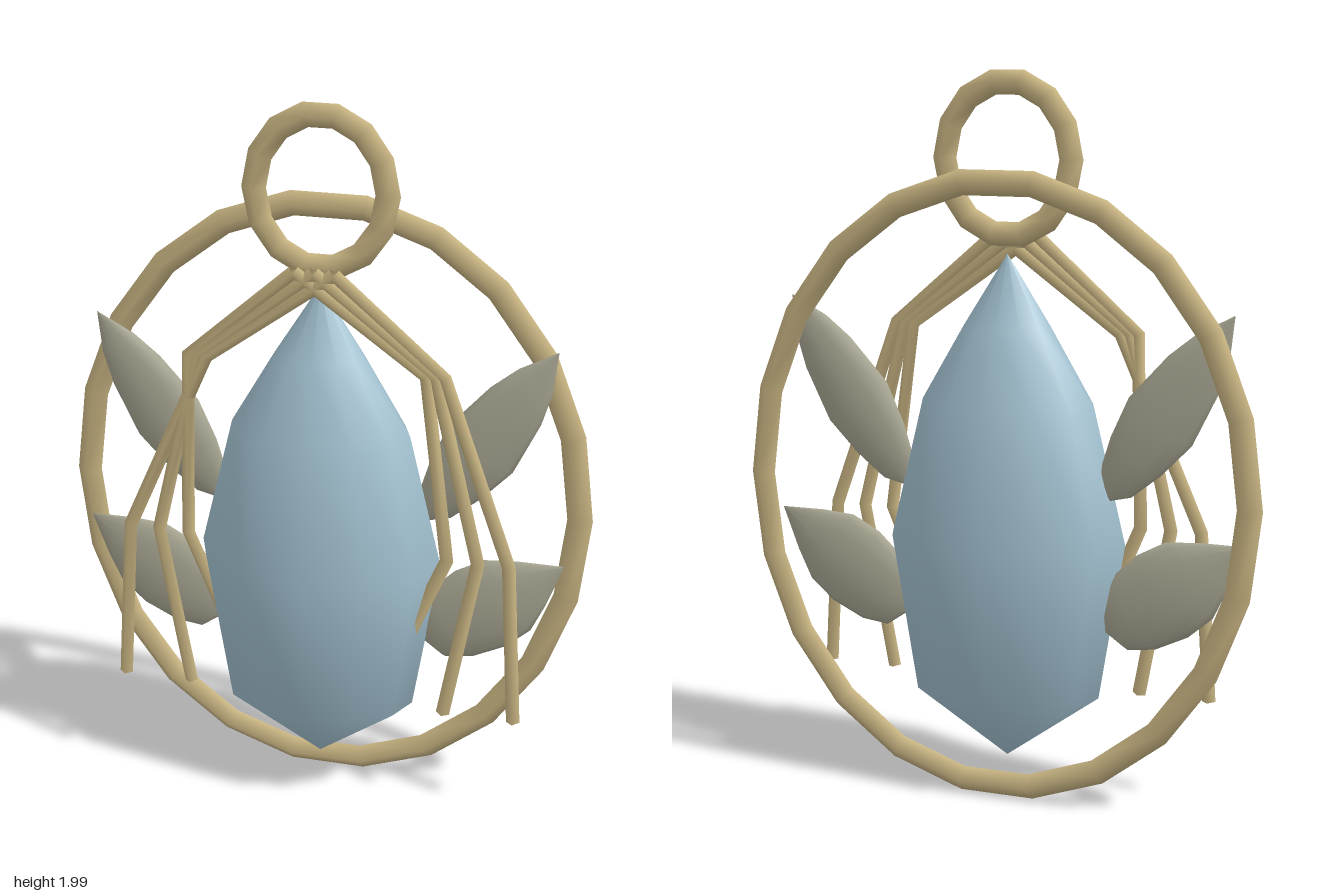
import * as THREE from 'three';

const gold = new THREE.MeshStandardMaterial({ color: 0xc8b482, side: THREE.DoubleSide });
gold.name = 'gold';
const crystalBlue = new THREE.MeshStandardMaterial({ color: 0xa2c1d0 });
crystalBlue.name = 'crystalBlue';
const wingGrey = new THREE.MeshStandardMaterial({ color: 0xa9a793 });
wingGrey.name = 'wingGrey';

// Curves sampled evenly in their parameter, so that corners are hit exactly
class EllipseLoop extends THREE.Curve {
  constructor(rx, ry) {
    super();
    this.rx = rx;
    this.ry = ry;
  }
  getUtoTmapping(u) { return u; }
  getPoint(t, target = new THREE.Vector3()) {
    const a = t * Math.PI * 2;
    return target.set(this.rx * Math.cos(a), this.ry * Math.sin(a), 0);
  }
  // Exact tangent, also at the seam
  getTangent(t, target = new THREE.Vector3()) {
    const a = t * Math.PI * 2;
    return target.set(-this.rx * Math.sin(a), this.ry * Math.cos(a), 0).normalize();
  }
}

class Polyline extends THREE.Curve {
  constructor(points) {
    super();
    this.points = points;
  }
  getUtoTmapping(u) { return u; }
  getPoint(t, target = new THREE.Vector3()) {
    const n = this.points.length - 1;
    const i = Math.min(Math.floor(t * n), n - 1);
    return target.lerpVectors(this.points[i], this.points[i + 1], t * n - i);
  }
}

function createRing(name, rx, ry, tube, segments, y, z) {
  const mesh = new THREE.Mesh(
    new THREE.TubeGeometry(new EllipseLoop(rx, ry), segments, tube, 4, true), gold);
  mesh.name = name;
  mesh.position.set(0, y, z);
  return mesh;
}

// Solid of revolution squashed along z
function createFlatLathe(name, profile, segments, depth, material) {
  const points = profile.map(([r, y]) => new THREE.Vector2(r, y));
  const geometry = new THREE.LatheGeometry(points, segments);
  geometry.scale(1, 1, depth);
  const mesh = new THREE.Mesh(geometry, material);
  mesh.name = name;
  return mesh;
}

// Leaf-shaped wing running from its base to its tip
function createWing(name, side, base, tip, profile, depth) {
  const wing = createFlatLathe(name, profile, 12, depth, wingGrey);
  wing.position.set(side * base[0], base[1], -0.017);
  wing.rotation.z = -side * Math.atan2(tip[0] - base[0], tip[1] - base[1]);
  return wing;
}

export function createModel() {
  const model = new THREE.Group();
  model.name = 'pendant';

  // Oval frame behind, hanging loop on top
  model.add(createRing('frame', 0.71, 0.841, 0.035, 22, 0.8725, -0.083));
  model.add(createRing('hangingLoop', 0.182, 0.207, 0.034, 14, 1.765, 0));

  // Faceted drop in the middle
  model.add(createFlatLathe('crystal', [
    [0, 0.095], [0.27, 0.29], [0.343, 0.73], [0.252, 1.1], [0.128, 1.31], [0, 1.51],
  ], 12, 0.667, crystalBlue));

  const upperProfile = [
    [0, 0], [0.055, 0.06], [0.086, 0.16], [0.107, 0.28], [0.084, 0.44], [0.056, 0.53], [0, 0.635],
  ];
  const lowerProfile = [
    [0, 0], [0.078, 0.03], [0.114, 0.1], [0.13, 0.2], [0.12, 0.29], [0.074, 0.37], [0, 0.477],
  ];

  for (const side of [1, -1]) {
    const prefix = side > 0 ? 'left' : 'right';
    model.add(createWing(prefix + 'UpperWing', side, [0.285, 0.85], [0.64, 1.37], upperProfile, 0.33));
    model.add(createWing(prefix + 'LowerWing', side, [0.29, 0.49], [0.683, 0.76], lowerProfile, 0.26));

    // Three bent wires falling over each side of the crystal
    for (let i = 0; i < 3; i++) {
      const offset = i - 1;
      const path = new Polyline([
        new THREE.Vector3(offset * 0.055, 1.56, 0.063),
        new THREE.Vector3(side * 0.33 + offset * 0.025, 1.3, 0.058),
        new THREE.Vector3(side * (0.37 + i * 0.086), 0.77, 0.05),
        new THREE.Vector3(side * (0.17 + i * 0.2), 0.3, 0.054),
      ]);
      const wire = new THREE.Mesh(new THREE.TubeGeometry(path, 3, 0.019, 4, false), gold);
      wire.name = prefix + 'Wire' + (i + 1);
      model.add(wire);
    }
  }

  return model;
}
